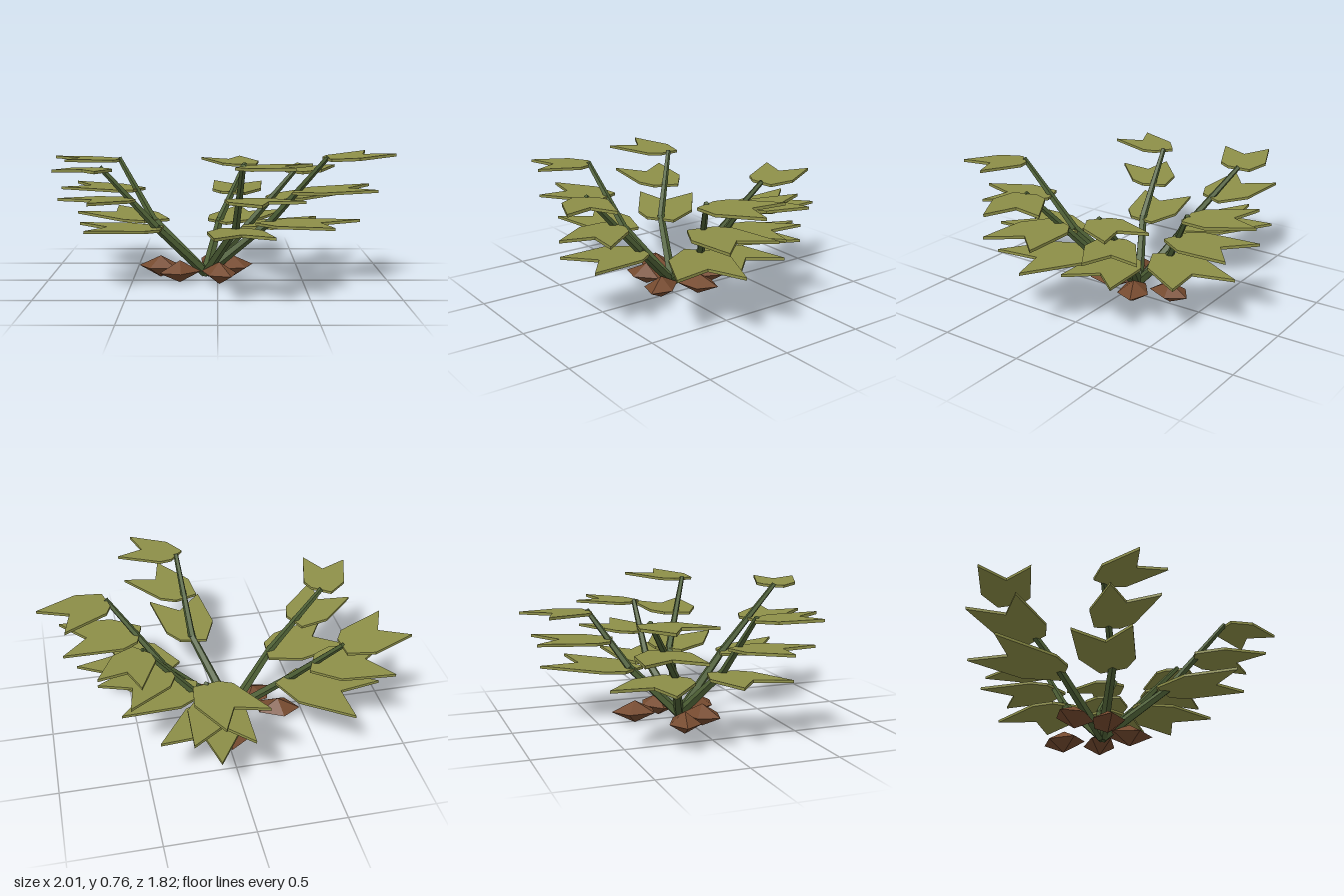
import * as THREE from 'three';

const paint = (color) => new THREE.MeshStandardMaterial({ color, flatShading: true });
const UP = new THREE.Vector3(0, 1, 0);

// Tapered five-sided stem section between two points
function stemSection(a, b, ra, rb, material) {
  const dir = b.clone().sub(a);
  const mesh = new THREE.Mesh(new THREE.CylinderGeometry(rb, ra, dir.length(), 5), material);
  mesh.position.copy(a).add(b).multiplyScalar(0.5);
  mesh.quaternion.setFromUnitVectors(UP, dir.normalize());
  mesh.name = 'stemSection';
  return mesh;
}

// Thin, lopsided, fork-tipped leaf; heading is its compass angle, heel how far it reaches behind the stem
function leaf(base, heading, len, heel, material) {
  const along = new THREE.Vector3(Math.cos(heading), 0.05, Math.sin(heading)).normalize();
  const across = new THREE.Vector3().crossVectors(UP, along).normalize();
  const normal = new THREE.Vector3().crossVectors(along, across);
  const shape = new THREE.Shape([
    [-heel, -0.18], [0.29, -0.4], [1, -0.375], [0.66, 0], [1, 0.375], [0.21, 0.32], [0.1 - heel, 0.18],
  ].map(([u, v]) => new THREE.Vector2(u * len, v * len)));
  const geo = new THREE.ExtrudeGeometry(shape, { depth: 0.016, bevelEnabled: false });
  geo.translate(0, 0, -0.008);
  geo.applyMatrix4(new THREE.Matrix4().makeBasis(along, across, normal).setPosition(base));
  const mesh = new THREE.Mesh(geo, material);
  mesh.name = 'leaf';
  return mesh;
}

// Five-sided double pyramid, longest along the line out from the root
function rock(x, z, root, material) {
  const geo = new THREE.SphereGeometry(1, 5, 2);
  geo.scale(0.134, 0.065, 0.095);
  const mesh = new THREE.Mesh(geo, material);
  mesh.position.set(x, 0.067, z);
  mesh.rotation.y = Math.atan2(z - root.z, root.x - x);
  mesh.name = 'rock';
  return mesh;
}

export function createModel() {
  const model = new THREE.Group();
  model.name = 'plant';
  const stemMat = paint(0x4c5e34), leafMat = paint(0x8d8f48), rockMat = paint(0x754a2f);
  const root = new THREE.Vector3(-0.07, 0.04, -0.035);

  // Per stem: bend, end, heading of the top leaf in degrees and its length
  const stems = [
    { bend: [-0.39, 0.345, -0.175], end: [-0.61, 0.69, -0.39], heading: 159.5, size: 0.37 },
    { bend: [-0.35, 0.34, 0.125], end: [-0.66, 0.69, 0.18], heading: 108.5, size: 0.332 },
    { bend: [0.1, 0.365, 0.31], end: [0.13, 0.745, 0.66], heading: 24.5, size: 0.332 },
    { bend: [0.31, 0.365, 0.04], end: [0.61, 0.75, 0.235], heading: -30, size: 0.374 },
    { bend: [0.19, 0.32, -0.145], end: [0.46, 0.64, -0.14], heading: -62, size: 0.332 },
    { bend: [0.015, 0.32, -0.31], end: [0.175, 0.645, -0.515], heading: -114.5, size: 0.372 },
  ];
  // Low, middle and top leaf: turn from the top leaf, relative length, heel
  const levels = [[60, 1.28, 0.12], [30, 1.14, 0.1], [0, 1, 0.06]];

  for (const s of stems) {
    const bend = new THREE.Vector3(...s.bend), end = new THREE.Vector3(...s.end);
    const branch = new THREE.Group();
    branch.name = 'branch';
    branch.add(stemSection(root, bend, 0.03, 0.023, stemMat), stemSection(bend, end, 0.023, 0.015, stemMat));
    levels.forEach(([turn, scale, heel], i) => {
      const base = bend.clone().lerp(end, i / 2);
      base.y -= 0.011;
      branch.add(leaf(base, THREE.MathUtils.degToRad(s.heading + turn), s.size * scale, heel, leafMat));
    });
    model.add(branch);
  }

  // Rocks around the root
  [[-0.02, -0.29], [-0.34, -0.1], [-0.22, 0.05], [0.01, 0.1], [0.09, -0.11]]
    .forEach(([x, z]) => model.add(rock(x, z, root, rockMat)));
  return model;
}
